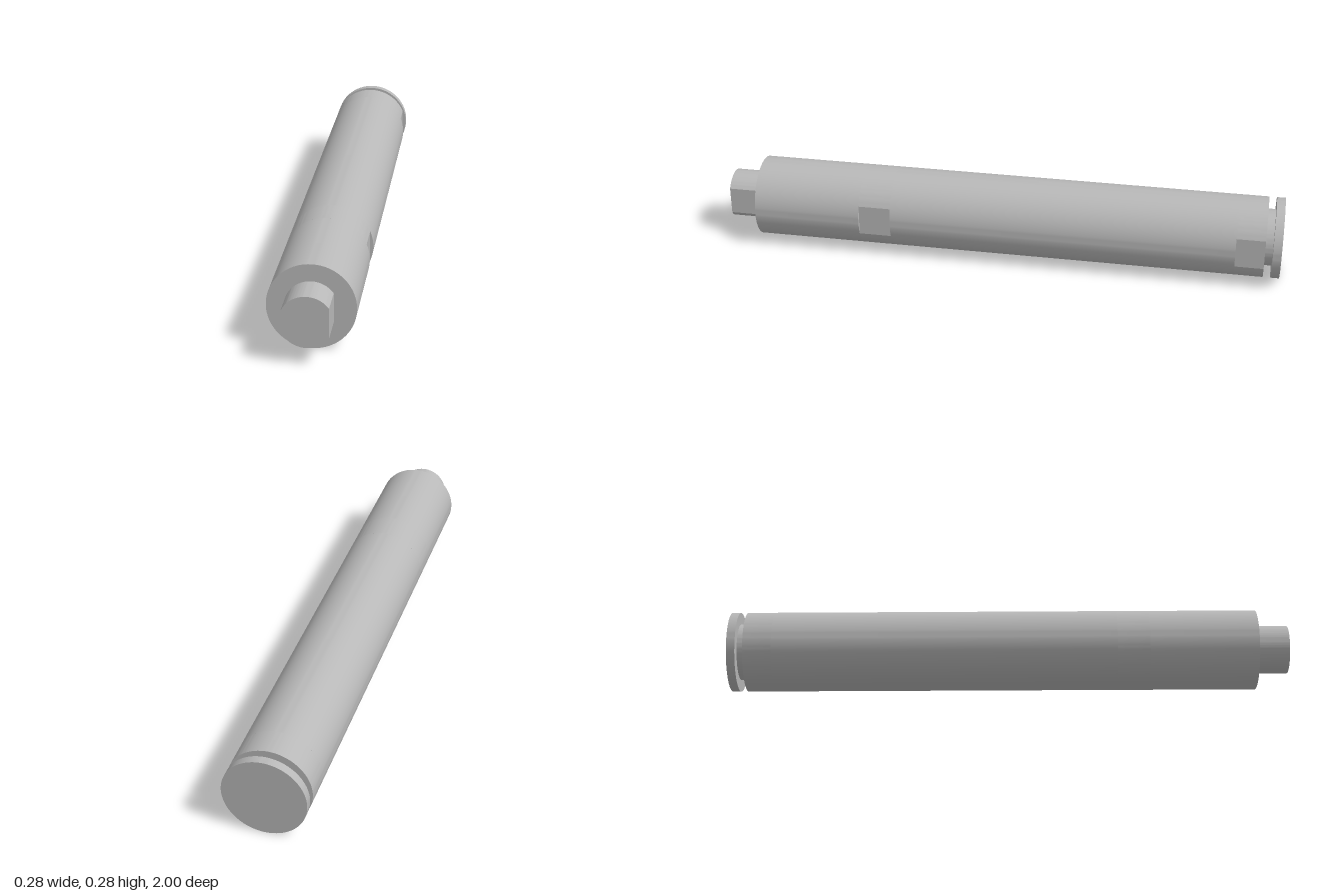
import * as THREE from 'three';
import { toCreasedNormals } from 'three/addons/utils/BufferGeometryUtils.js';

export function createModel() {
  const group = new THREE.Group();
  group.name = 'shaft';
  const steel = new THREE.MeshStandardMaterial({ color: 0xb8b8b8 });
  steel.name = 'steel grey';

  const R = 0.1425;     // main shaft radius
  const flat = 0.1315;  // distance of the milled flats from the axis

  // Round section along z, optionally cut by a flat facing +x
  function section(name, z0, z1, radius, flatX = radius) {
    const a = flatX < radius ? Math.acos(flatX / radius) : 0;
    const shape = new THREE.Shape();
    shape.absarc(0, 0, radius, a, Math.PI * 2 - a, false);
    shape.closePath();
    const extruded = new THREE.ExtrudeGeometry(shape, {
      depth: z1 - z0, bevelEnabled: false, curveSegments: 48,
    });
    const mesh = new THREE.Mesh(toCreasedNormals(extruded, 0.2), steel);
    mesh.name = name;
    mesh.position.set(0, R, z0);
    group.add(mesh);
  }

  // From the back end to the front
  section('endFlange', -1, -0.97, R);
  section('ringGroove', -0.97, -0.943, 0.1);
  section('rearFlat', -0.943, -0.842, R, flat);
  section('mainBody', -0.842, 0.385, R);
  section('frontFlat', 0.385, 0.5, R, flat);
  section('frontBody', 0.5, 0.885, R);
  section('driveTip', 0.885, 1, 0.0855, 0.07);

  return group;
}
